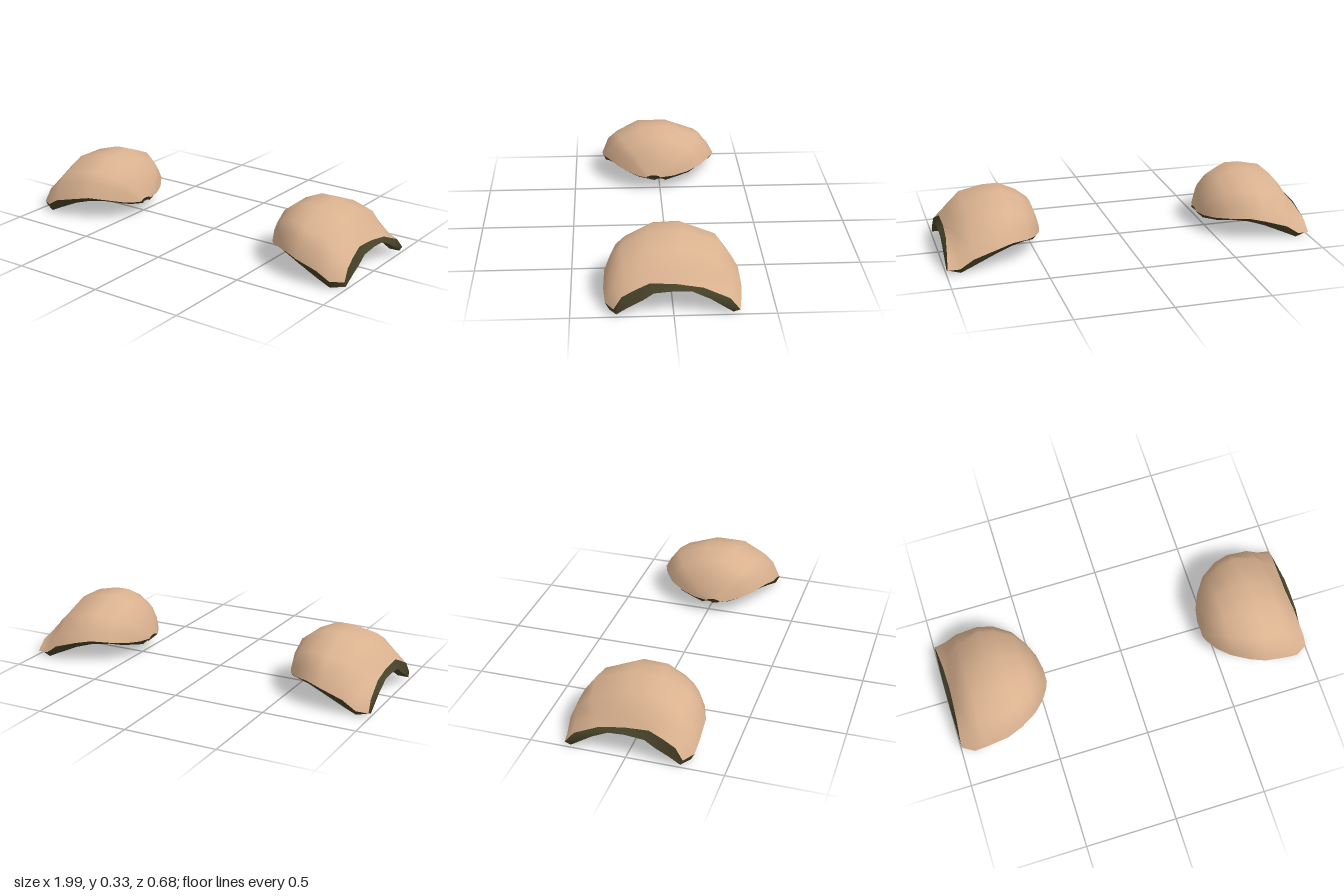
import * as THREE from 'three';

// Arch outlines from front edge to back edge: [across, up]
const DOME = [[1, 0], [0.9, 0.42], [0.74, 0.65], [0.34, 0.97], [-0.18, 1], [-0.73, 0.66], [-0.91, 0.27], [-1, 0]];
const OUTER_OPENING = [[1, 0.05], [0.87, 0.52], [0.66, 0.76], [0.42, 1], [0, 0.92], [-0.42, 0.77], [-0.84, 0.37], [-1, -0.07]];
const INNER_OPENING = [[1, 0], [0.8, 0.3], [0.55, 0.61], [0.36, 0.92], [0, 1], [-0.3, 0.96], [-0.6, 0.62], [-1, 0]];
const LAST = DOME.length - 1;

// Cross-sections from the neck end to the arm opening:
// [x, centre z, half width, edge height, crown height, blend to opening outline, corner flare]
const SHELL = [
  [0.450, 0.04, 0.04, 0.086, 0.10, 0, 0],
  [0.465, 0.02, 0.10, 0.090, 0.15, 0, 0],
  [0.500, 0.01, 0.17, 0.100, 0.245, 0, 0],
  [0.560, 0.00, 0.245, 0.118, 0.292, 0, 0],
  [0.650, 0.00, 0.303, 0.130, 0.330, 0, 0],
  [0.735, 0.00, 0.332, 0.115, 0.326, 0, 0],
  [0.860, 0.00, 0.338, 0.080, 0.295, 0.25, 0],
  [0.930, 0.00, 0.330, 0.035, 0.222, 0.6, 0],
  [0.968, -0.015, 0.305, 0.032, 0.165, 1, 0.026],
];
const LINING = [
  [0.480, 0.00, 0.03, 0.056, 0.066, 0, 0],
  [0.493, 0.01, 0.11, 0.074, 0.14, 0, 0],
  [0.520, 0.00, 0.170, 0.087, 0.225, 0, 0],
  [0.575, 0.00, 0.228, 0.105, 0.272, 0, 0],
  [0.655, 0.00, 0.282, 0.107, 0.310, 0, 0],
  [0.737, 0.00, 0.309, 0.086, 0.306, 0, 0],
  [0.860, 0.00, 0.316, 0.032, 0.276, 0.25, 0],
  [0.925, 0.00, 0.310, 0.000, 0.207, 0.5, 0],
  [0.995, -0.005, 0.282, 0.012, 0.131, 1, 0],
];

// Rows of points, each row one arch blended from the dome to the opening outline
function archRows(sections, opening, side) {
  return sections.map(([x, c, w, b, t, k, flare]) =>
    DOME.map((p, j) => {
      const across = THREE.MathUtils.lerp(p[0], opening[j][0], k);
      const up = THREE.MathUtils.lerp(p[1], opening[j][1], k);
      return [side * (x + flare * across * across), b + (t - b) * up, c + w * across];
    }));
}

// Smooth surface through a grid of points
function skin(rows, flip) {
  const cols = rows[0].length;
  const index = [];
  for (let i = 0; i < rows.length - 1; i++) {
    for (let j = 0; j < cols - 1; j++) {
      const a = i * cols + j, b = a + cols, c = a + 1, d = b + 1;
      if (flip) index.push(a, c, b, c, d, b);
      else index.push(a, b, c, c, b, d);
    }
  }
  const geometry = new THREE.BufferGeometry();
  geometry.setAttribute('position', new THREE.Float32BufferAttribute(rows.flat(2), 3));
  geometry.setIndex(index);
  geometry.computeVertexNormals();
  return geometry;
}

// Closed loop of border points around a grid
function border(rows) {
  const front = rows.map((r) => r[0]);
  const back = rows.map((r) => r[LAST]).reverse();
  const opening = rows[rows.length - 1].slice(1, LAST);
  const tip = rows[0].slice(0, LAST).reverse();
  return [...front, ...opening, ...back, ...tip];
}

function shoulderPad(name, side, tan, dark) {
  const pad = new THREE.Group();
  pad.name = name;
  const outer = archRows(SHELL, OUTER_OPENING, side);
  const inner = archRows(LINING, INNER_OPENING, side);
  const mirrored = side < 0;
  const add = (part, geometry, material) => {
    const mesh = new THREE.Mesh(geometry, material);
    mesh.name = part;
    pad.add(mesh);
  };
  add('outerShell', skin(outer, mirrored), tan);
  add('lining', skin(inner, !mirrored), dark);

  // Thick edge joining shell and lining
  const a = border(outer), b = border(inner);
  add('rim', skin(a.map((p, i) => [p, b[i]]), !mirrored), dark);
  return pad;
}

export function createModel() {
  const tan = new THREE.MeshStandardMaterial({ color: 0xd9b18f });
  tan.name = 'tan';
  const dark = new THREE.MeshStandardMaterial({ color: 0x464128 });
  dark.name = 'darkOlive';

  const model = new THREE.Group();
  model.name = 'shoulderPads';
  model.add(shoulderPad('leftPad', 1, tan, dark));
  model.add(shoulderPad('rightPad', -1, tan, dark));
  return model;
}
